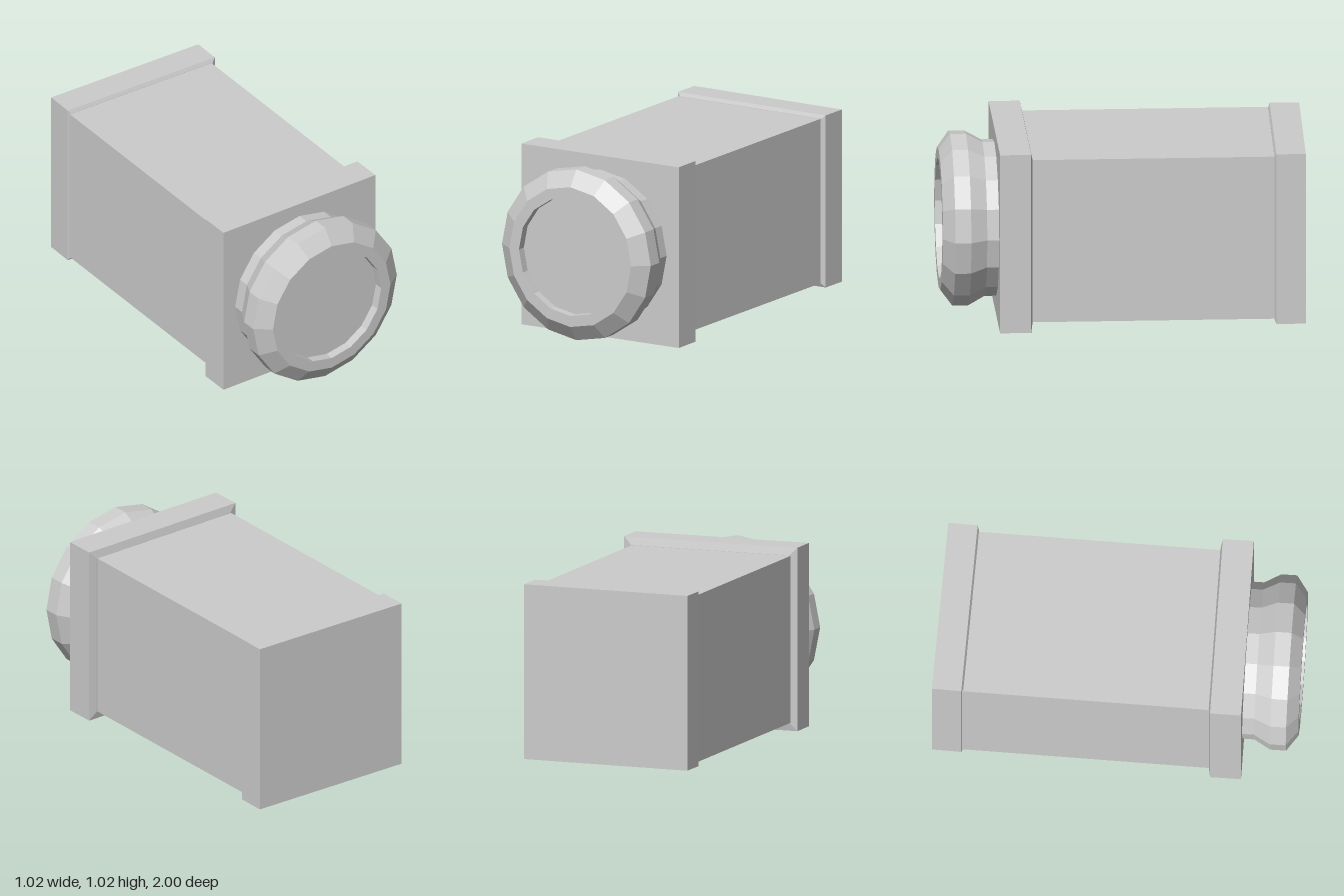
import * as THREE from 'three';

const material = new THREE.MeshStandardMaterial({ color: 0xcccccc, flatShading: true });
const CENTER_Y = 0.512;
const TILT = 0.012; // the end pieces sit very slightly askew

// Turns a [radius, z] profile, listed back to front, around the z axis
function turned(name, profile, sides, startAngle = 0) {
  const points = profile.map(([r, z]) => new THREE.Vector2(r, z));
  const geometry = new THREE.LatheGeometry(points, sides, startAngle);
  geometry.rotateX(Math.PI / 2);
  const mesh = new THREE.Mesh(geometry, material);
  mesh.name = name;
  mesh.position.y = CENTER_Y;
  return mesh;
}

// Square version: the profile gives half-widths instead of radii
function squareTurned(name, profile) {
  const scaled = profile.map(([half, z]) => [half * Math.SQRT2, z]);
  return turned(name, scaled, 4, Math.PI / 4);
}

export function createModel() {
  const group = new THREE.Group();
  group.name = 'boxCamera';

  // Long rectangular housing
  const body = new THREE.Mesh(new THREE.BoxGeometry(0.931, 0.925, 1.4), material);
  body.name = 'body';
  body.position.set(0, CENTER_Y, -0.15);

  // Back cap, its front edge sloping in to the body
  const backCap = squareTurned('backCap', [
    [0, -0.994], [0.484, -0.994], [0.484, -0.833], [0.464, -0.823], [0, -0.823],
  ]);
  backCap.rotation.y = -TILT;

  // Front collar, its back edge sloping in to the body
  const frontCollar = squareTurned('frontCollar', [
    [0, 0.51], [0.464, 0.51], [0.508, 0.52], [0.508, 0.69], [0, 0.69],
  ]);
  frontCollar.rotation.y = TILT;

  // Faceted lens ring with a shallow recessed face
  const lens = turned('lens', [
    [0.43, 0.68], [0.43, 0.755], [0.48, 0.845], [0.48, 0.932],
    [0.393, 0.995], [0.331, 0.995], [0.331, 0.945], [0, 0.945],
  ], 16);
  lens.rotation.y = TILT;

  group.add(body, backCap, frontCollar, lens);
  return group;
}
